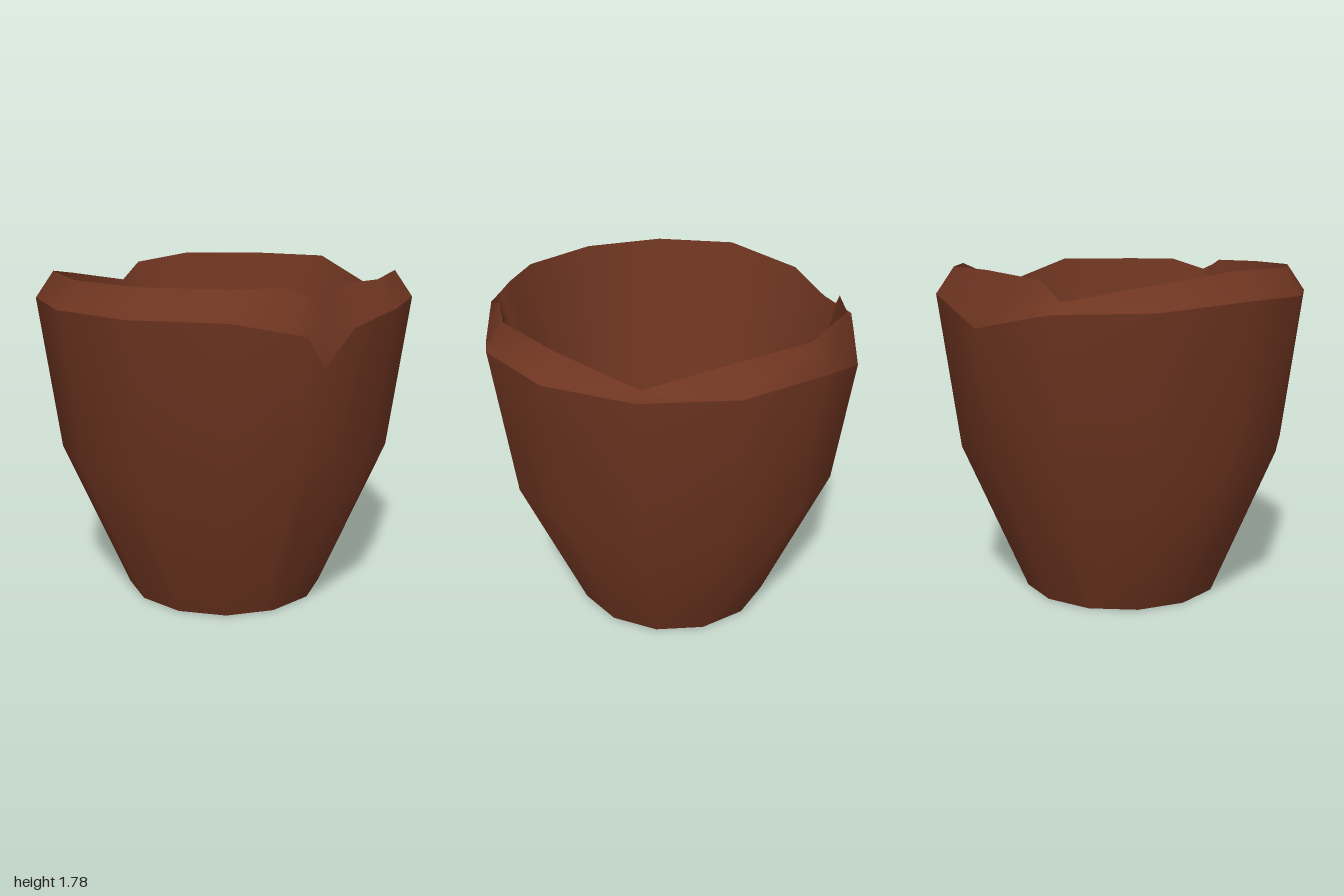
import * as THREE from 'three';
import { mergeVertices } from 'three/addons/utils/BufferGeometryUtils.js';

const SIDES = 13;

// Columns around the pot: t = corner index (fractions lie on a side),
// lip = height of the outer rim, top / inset = height and radius of the inner rim.
const chips = {
  0: { lip: 1.5 },
  3: { top: 1.65, inset: 0.89 },
  5.6: { lip: 1.58 },
  6: { lip: 1.4, top: 1.72, inset: 0.95 },
  6.2: { lip: 1.56, top: 1.75, inset: 0.93 },
  6.35: { lip: 1.575 },
  11: { lip: 1.6, top: 1.72 },
  12: { lip: 1.59, top: 1.64, inset: 0.9 },
  12.25: { lip: 1.57, top: 1.74 },
};
const columns = [...Array(SIDES).keys(), 5.6, 6.2, 6.35, 12.25]
  .sort((a, b) => a - b)
  .map((t) => ({ t, lip: 1.64, top: 1.78, inset: 0.91, ...chips[t] }));

// Unit direction on the thirteen-sided outline
function outline(t) {
  const corner = (k) => {
    const a = (k / SIDES) * Math.PI * 2;
    return new THREE.Vector2(Math.sin(a), -Math.cos(a));
  };
  const k = Math.floor(t);
  return corner(k).lerp(corner(k + 1), t - k);
}

// Radius of the outer wall at a height
function wallRadius(y) {
  return y < 0.82 ? 0.547 + (y / 0.82) * 0.35 : 0.897 + ((y - 0.82) / 0.82) * 0.11;
}

// Each ring is a function: column -> [radius, y]. Rings run up the outside and down the inside.
function loft(name, rings, material) {
  const positions = [];
  const index = [];
  const n = columns.length;
  for (const ring of rings) {
    for (const c of columns) {
      const [r, y] = ring(c);
      const d = outline(c.t);
      positions.push(d.x * r, y, d.y * r);
    }
  }
  for (let j = 0; j < rings.length - 1; j++) {
    for (let i = 0; i < n; i++) {
      const a = j * n + i;
      const b = j * n + ((i + 1) % n);
      // Run the diagonal to the lower upper corner so chips stay hollow
      const fallsTowardB = positions[(a + n) * 3 + 1] > positions[(b + n) * 3 + 1];
      if (fallsTowardB) index.push(b, a, b + n, a, a + n, b + n);
      else index.push(b, a, a + n, b, a + n, b + n);
    }
  }
  let geometry = new THREE.BufferGeometry();
  geometry.setAttribute('position', new THREE.Float32BufferAttribute(positions, 3));
  geometry.setIndex(index);
  geometry = mergeVertices(geometry);
  geometry.computeVertexNormals();
  const mesh = new THREE.Mesh(geometry, material);
  mesh.name = name;
  return mesh;
}

export function createModel() {
  const clay = new THREE.MeshStandardMaterial({ color: 0x6f3521 });
  clay.name = 'brown clay';
  const pot = new THREE.Group();
  pot.name = 'chippedPot';

  const base = () => [wallRadius(0), 0];
  const lip = (c) => [wallRadius(c.lip), c.lip];
  const rim = (c) => [c.inset, c.top];
  const floor = () => [0.558, 0.15];
  // Belly ring; at the front corner it opens into a shallow diamond-shaped gouge
  const belly = (gougeY, depth) => (c) =>
    c.t === 6 ? [wallRadius(gougeY) * depth, gougeY] : [wallRadius(0.82), 0.82];

  pot.add(
    loft('base', [() => [0, 0], base], clay),
    loft('outerWall', [base, belly(0.5, 1), belly(0.82, 0.96), belly(1.13, 1), lip], clay),
    loft('chippedRim', [lip, rim], clay),
    loft('innerWall', [rim, floor], clay),
    loft('innerFloor', [floor, () => [0, 0.15]], clay),
  );
  return pot;
}
